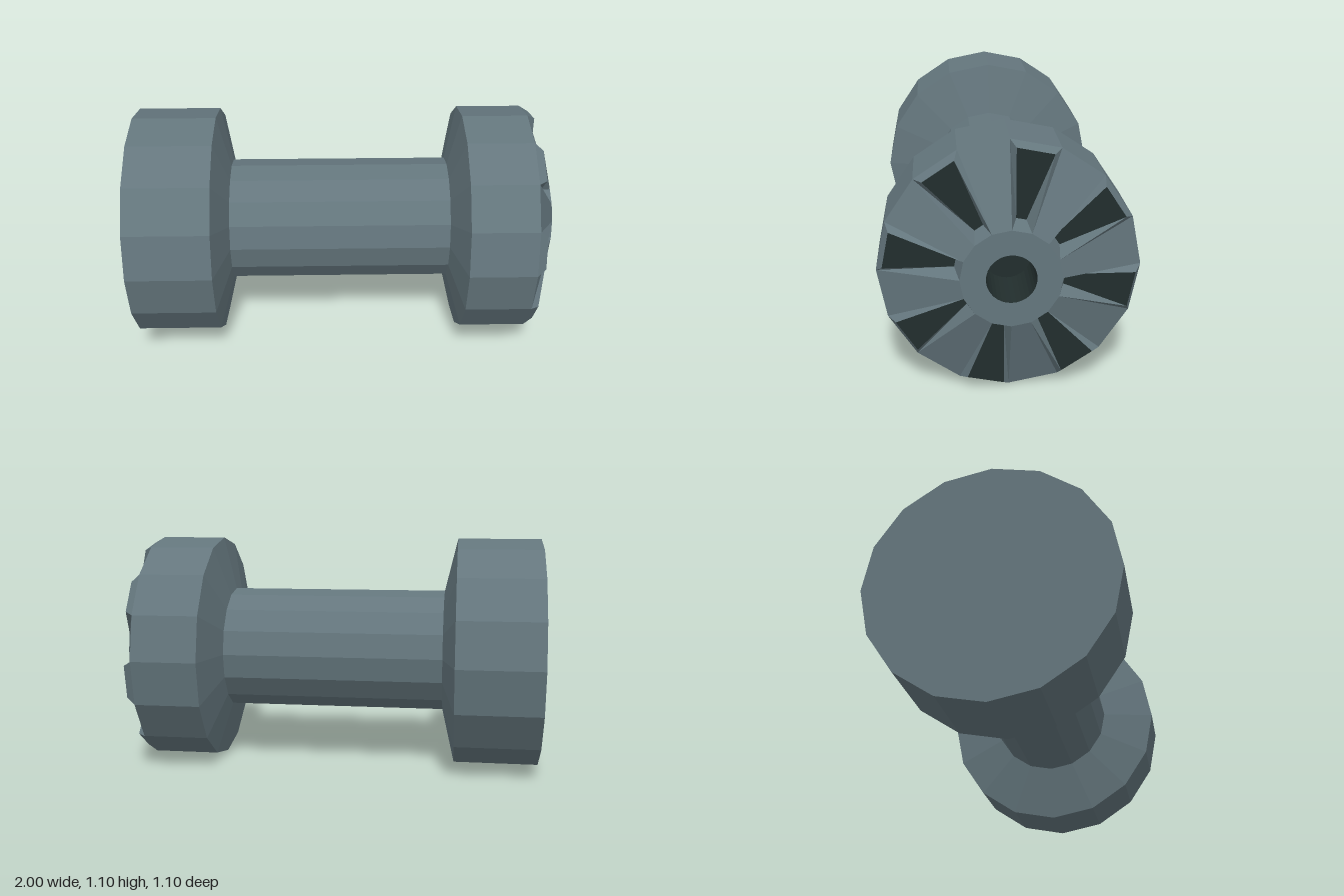
import * as THREE from 'three';

const SIDES = 16;
const STEP = (Math.PI * 2) / SIDES;
const R = 0.549;       // head radius
const HUB = 0.21;      // flat hub radius on the fluted end
const BORE = 0.104;    // centre hole radius
const RIM_X = 0.87, TIP_X = 1, FLOOR_X = 0.91;

// Faceted solid of revolution about the x axis; profile is [x, radius]
function turned(profile, sides) {
  const g = new THREE.LatheGeometry(profile.map(([x, r]) => new THREE.Vector2(r, x)), sides);
  g.rotateZ(-Math.PI / 2);
  const flat = g.toNonIndexed();
  flat.computeVertexNormals();
  return flat;
}

// Flat-shaded geometry from four-cornered faces
function quads(list) {
  const pos = [];
  for (const [a, b, c, d] of list) for (const p of [a, b, c, a, c, d]) pos.push(...p);
  const g = new THREE.BufferGeometry();
  g.setAttribute('position', new THREE.Float32BufferAttribute(pos, 3));
  g.computeVertexNormals();
  return g;
}

// Point at radius r and clockwise angle a from the top, looking at the +x end
const at = (x, r, a) => [x, r * Math.cos(a), -r * Math.sin(a)];

export function createModel() {
  const model = new THREE.Group();
  const steel = new THREE.MeshStandardMaterial({ color: 0x64767d });
  steel.name = 'blueGreySteel';
  const dark = new THREE.MeshStandardMaterial({ color: 0x222e2d });
  dark.name = 'darkRecess';

  const add = (name, geometry, material) => {
    const m = new THREE.Mesh(geometry, material);
    m.name = name;
    m.position.y = 0.55;
    model.add(m);
  };

  // Heads with their tapers, and the shaft between
  add('plainHead', turned([[-1, 0], [-1, R], [-0.605, R], [-0.545, 0.295]], SIDES), steel);
  add('shaft', turned([[-0.545, 0.295], [0.5, 0.295]], SIDES), steel);
  add('flutedHead', turned([[0.5, 0.295], [0.56, R], [RIM_X, R]], SIDES), steel);

  // Fluted end: sloping teeth alternate with bevelled pockets
  const teeth = [], bevels = [], floors = [];
  const inset = 0.024, floorOut = 0.523, floorIn = 0.23;
  for (let i = 0; i < SIDES; i++) {
    const a = i * STEP, b = a + STEP;
    const rim = [at(RIM_X, R, a), at(TIP_X, HUB, a), at(TIP_X, HUB, b), at(RIM_X, R, b)];
    if (i % 2) {
      teeth.push(rim);
      continue;
    }
    const o = inset / floorOut, n = inset / floorIn;
    const floor = [
      at(FLOOR_X, floorOut, a + o), at(FLOOR_X, floorIn, a + n),
      at(FLOOR_X, floorIn, b - n), at(FLOOR_X, floorOut, b - o),
    ];
    floors.push(floor);
    for (let k = 0; k < 4; k++) {
      const j = (k + 1) % 4;
      bevels.push([rim[k], rim[j], floor[j], floor[k]]);
    }
  }
  add('teeth', quads(teeth), steel);
  add('pocketBevels', quads(bevels), steel);
  add('pocketFloors', quads(floors), dark);

  // Flat hub ring with a round hole
  const ring = new THREE.Shape();
  for (let i = 0; i < SIDES; i++) {
    const x = HUB * Math.cos(i * STEP), y = HUB * Math.sin(i * STEP);
    if (i) ring.lineTo(x, y); else ring.moveTo(x, y);
  }
  ring.closePath();
  ring.holes.push(new THREE.Path().absarc(0, 0, BORE, 0, Math.PI * 2, true));
  const hub = new THREE.ShapeGeometry(ring, 16);
  hub.rotateY(Math.PI / 2).translate(TIP_X, 0, 0);
  add('hubRing', hub, steel);

  // Bore, seen from inside
  add('bore', turned([[TIP_X, BORE], [0.75, BORE], [0.75, 0]], 32), dark);

  return model;
}
